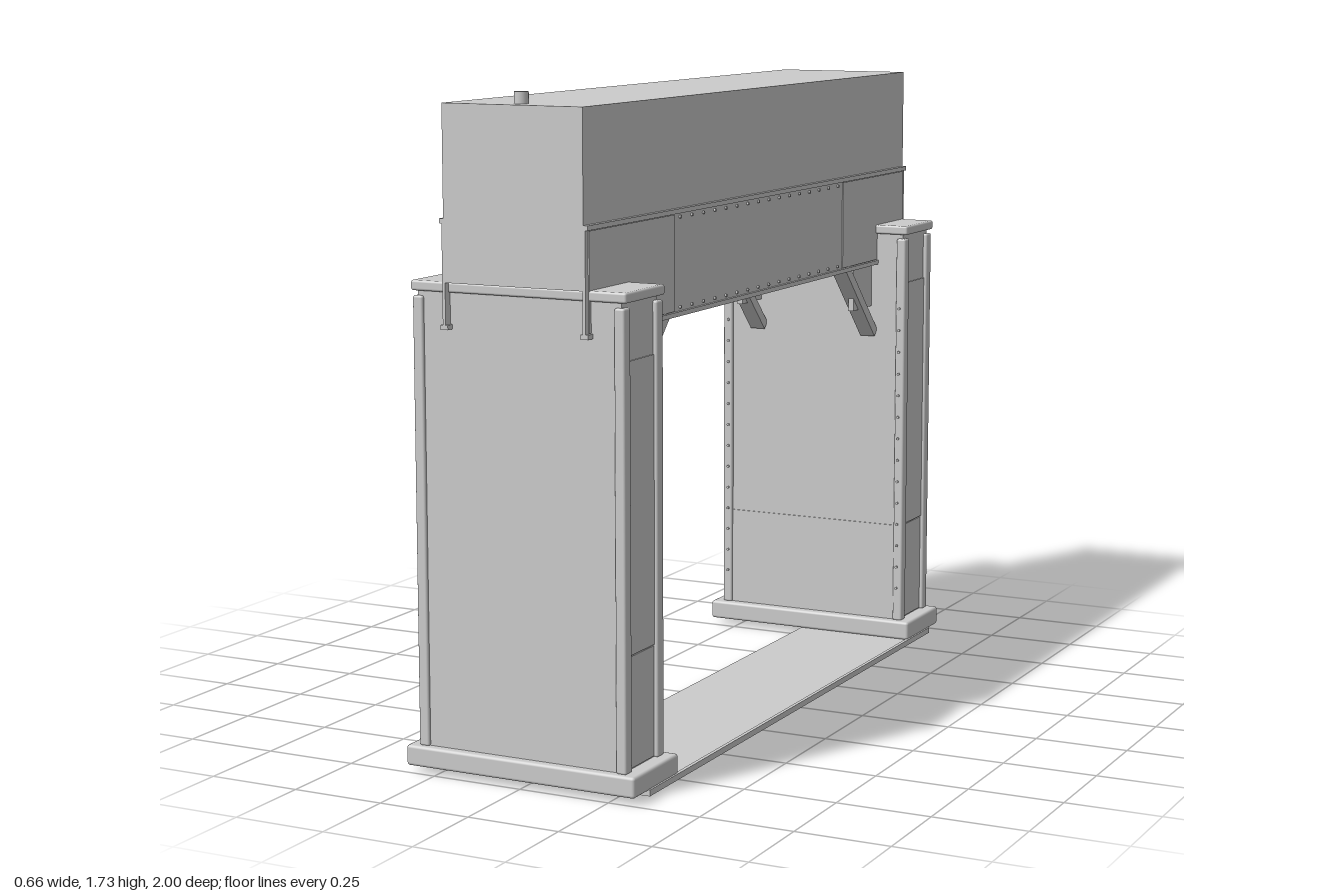
import * as THREE from 'three';
import { RoundedBoxGeometry } from 'three/addons/geometries/RoundedBoxGeometry.js';

const grey = new THREE.MeshStandardMaterial({ color: 0xcccccc });

function add(parent, name, geometry) {
  const mesh = new THREE.Mesh(geometry, grey);
  mesh.name = name;
  parent.add(mesh);
  return mesh;
}

// Box given by its [min, max] range on each axis; optional rounded edges
function block(parent, name, [x0, x1], [y0, y1], [z0, z1], radius = 0) {
  const size = [x1 - x0, y1 - y0, z1 - z0];
  const geometry = radius ? new RoundedBoxGeometry(...size, 2, radius) : new THREE.BoxGeometry(...size);
  const mesh = add(parent, name, geometry);
  mesh.position.set((x0 + x1) / 2, (y0 + y1) / 2, (z0 + z1) / 2);
  return mesh;
}

const range = (a, b) => [Math.min(a, b), Math.max(a, b)];

// One tower; e = +1 front end, -1 back end
function makeTower(e) {
  const tower = new THREE.Group();
  tower.name = e > 0 ? 'frontTower' : 'backTower';
  const z = (a, b) => range(a * e, b * e);
  block(tower, 'base', [-0.327, 0.327], [0.018, 0.072], z(0.76, 1), 0.008);
  block(tower, 'towerBody', [-0.285, 0.285], [0.07, 1.236], z(0.79, 0.977));
  block(tower, 'capPlate', [-0.302, 0.302], [1.234, 1.26], z(0.78, 0.985), 0.006);
  block(tower, 'innerKickPanel', [-0.268, 0.268], [0.072, 0.36], z(0.787, 0.79));

  for (const s of [-1, 1]) {
    const x = (a, b) => range(a * s, b * s);
    // Corner posts
    for (const [a, b] of [[0.78, 0.814], [0.951, 0.985]])
      block(tower, 'cornerPost', x(0.268, 0.297), [0.07, 1.222], z(a, b), 0.006);
    // Side access panels
    block(tower, 'upperAccessPanel', x(0.285, 0.289), [0.362, 1.09], z(0.816, 0.949));
    block(tower, 'lowerAccessPanel', x(0.285, 0.287), [0.075, 0.358], z(0.816, 0.949));
    // Bolts up the inner edges
    for (let i = 0; i < 14; i++) {
      const bolt = add(tower, 'towerBolt', new THREE.CylinderGeometry(0.004, 0.004, 0.006, 8));
      bolt.rotation.x = Math.PI / 2;
      bolt.position.set(s * 0.28, 0.17 + i * 0.065, e * 0.778);
    }
    // Diagonal knee brace with two raised edges
    const brace = new THREE.Group();
    brace.name = 'kneeBrace';
    block(brace, 'braceWeb', [-0.022, 0.022], [-0.014, -0.006], [-0.15, 0.15]);
    for (const t of [-0.02, 0.02])
      block(brace, 'braceFlange', [t - 0.003, t + 0.003], [-0.014, 0.014], [-0.15, 0.15]);
    brace.position.set(s * 0.18, 1.045, e * 0.68);
    brace.rotation.x = e * Math.PI / 4;
    tower.add(brace);
    block(tower, 'braceGusset', x(0.172, 0.188), [1.018, 1.15], z(0.65, 0.785));
  }
  return tower;
}

// One side girder; s = side of the model
function makeGirder(s) {
  const girder = new THREE.Group();
  girder.name = 'sideGirder';
  const x = (a, b) => range(a * s, b * s);
  block(girder, 'girderWeb', x(0.192, 0.2), [1.147, 1.415], [-1, 1]);
  block(girder, 'bottomFlange', x(0.186, 0.207), [1.143, 1.155], [-1, 1]);
  block(girder, 'topFlange', x(0.19, 0.207), [1.406, 1.418], [-1, 1]);
  for (const e of [-1, 1])
    block(girder, 'endCoverPlate', x(0.2, 0.203), [1.157, 1.404], range(e * 0.535, e * 0.985));
  // Bolts along the upper and lower edges
  for (const y of [1.165, 1.396])
    for (let i = 0; i < 16; i++) {
      const bolt = add(girder, 'girderBolt', new THREE.CylinderGeometry(0.004, 0.004, 0.006, 8));
      bolt.rotation.z = Math.PI / 2;
      bolt.position.set(s * 0.202, y, -0.5 + i / 15);
    }
  return girder;
}

// Conduits leaving the girder, arching over the cap and running down the tower
function makeConduits() {
  const conduits = new THREE.Group();
  conduits.name = 'conduits';
  [[0.785, 0.23], [0.803, 0.3], [0.821, 0.42]].forEach(([z, bottom]) => {
    const path = new THREE.CurvePath();
    const v = (x, y) => new THREE.Vector3(x, y, z);
    path.add(new THREE.LineCurve3(v(-0.195, 1.305), v(-0.285, 1.285)));
    path.add(new THREE.QuadraticBezierCurve3(v(-0.285, 1.285), v(-0.305, 1.28), v(-0.305, 1.255)));
    path.add(new THREE.LineCurve3(v(-0.305, 1.255), v(-0.302, bottom)));
    add(conduits, 'conduit', new THREE.TubeGeometry(path, 60, 0.005, 8));
    const end = add(conduits, 'conduitEnd', new THREE.CylinderGeometry(0.006, 0.006, 0.02, 8));
    end.position.set(-0.302, bottom, z);
  });
  return conduits;
}

export function createModel() {
  const model = new THREE.Group();
  model.name = 'portalGantry';

  // Gantry: housing, girders and towers
  const gantry = new THREE.Group();
  gantry.name = 'gantry';
  gantry.position.x = -0.005;
  model.add(gantry);
  block(gantry, 'topHousing', [-0.195, 0.195], [1.26, 1.7], [-1, 1]);
  const vent = add(gantry, 'roofStub', new THREE.CylinderGeometry(0.018, 0.018, 0.03, 24));
  vent.position.set(0, 1.715, 0.95);
  for (const s of [-1, 1]) {
    gantry.add(makeGirder(s));
    gantry.add(makeTower(s));
  }
  gantry.add(makeConduits());

  // Floor plate joining the towers on one side
  block(model, 'floorPlate', [-0.03, 0.322], [0.006, 0.018], [-0.925, 0.925]);
  block(model, 'floorPlateUnderside', [-0.01, 0.31], [0, 0.006], [-0.85, 0.85]);
  block(model, 'floorPlateLip', [0.316, 0.326], [0.006, 0.022], [-0.925, 0.925]);
  return model;
}
